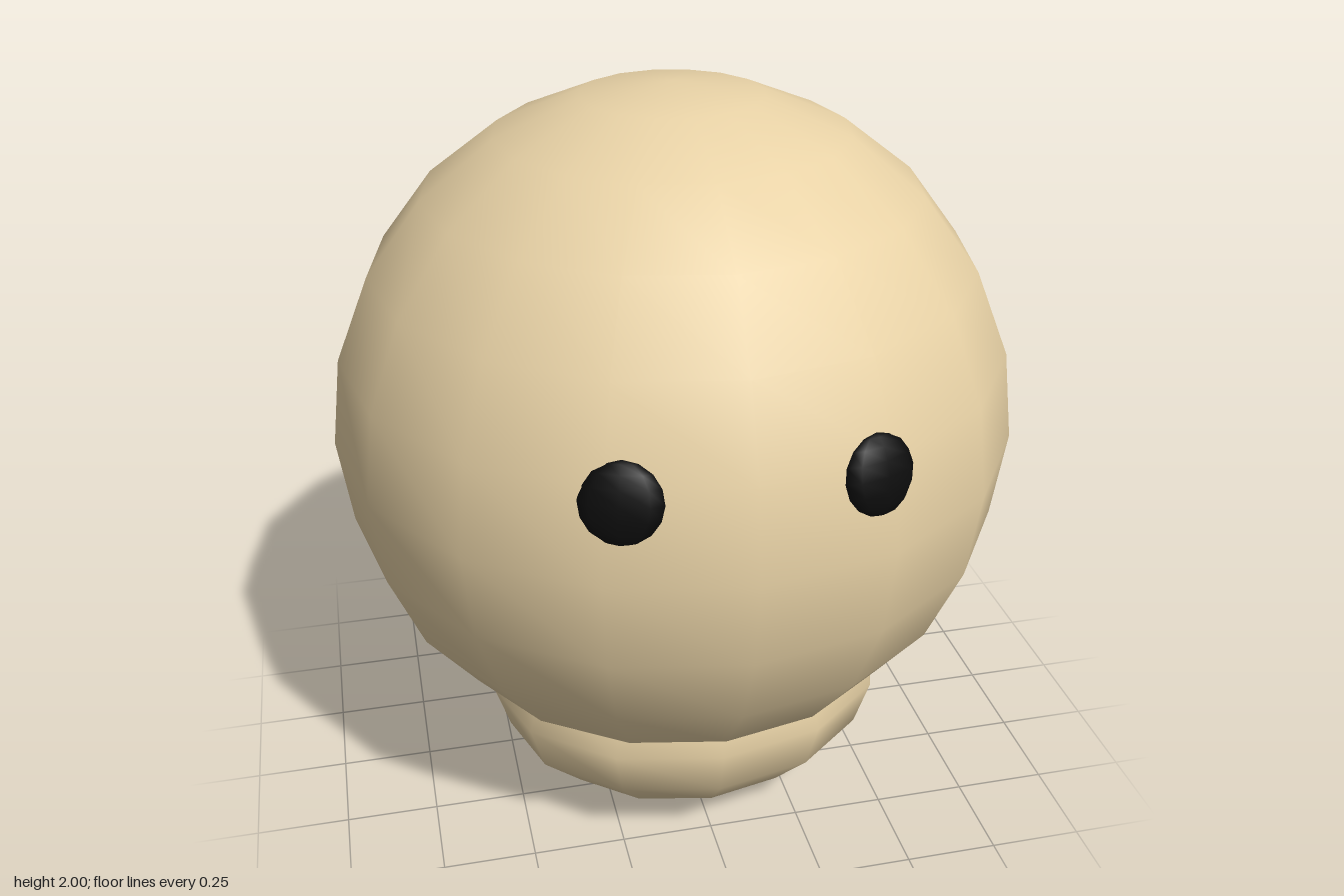
import * as THREE from 'three';

export function createModel() {
  const model = new THREE.Group();
  const skin = new THREE.MeshStandardMaterial({ color: 0xe8d2a6 });
  const black = new THREE.MeshStandardMaterial({ color: 0x0c0c0c });

  // Smooth-shaded ellipsoid with a low number of sides
  function ellipsoid(name, material, radii, sides, rings, position) {
    const geometry = new THREE.SphereGeometry(1, sides, rings);
    geometry.scale(...radii);
    const mesh = new THREE.Mesh(geometry, material);
    mesh.name = name;
    mesh.position.set(...position);
    model.add(mesh);
    return mesh;
  }

  // Head
  const headRadius = 0.923;
  const headCentre = new THREE.Vector3(0, 2 - headRadius, 0);
  ellipsoid('head', skin, [headRadius, headRadius, headRadius], 16, 12, headCentre.toArray());

  // Jaw, sunk into the lower front of the head
  ellipsoid('jaw', skin, [0.56, 0.348, 0.442], 12, 8, [0, 0.35, 0.188]);

  // Eyes: flat discs lying on the head and facing outwards
  for (const side of [1, -1]) {
    const outward = new THREE.Vector3(side * 0.305, 0.207, 0.835).normalize();
    const position = headCentre.clone().addScaledVector(outward, 0.905);
    const eye = ellipsoid(side > 0 ? 'leftEye' : 'rightEye', black, [0.1, 0.1, 0.035], 8, 8, position.toArray());
    eye.lookAt(position.clone().add(outward));
  }
  return model;
}
